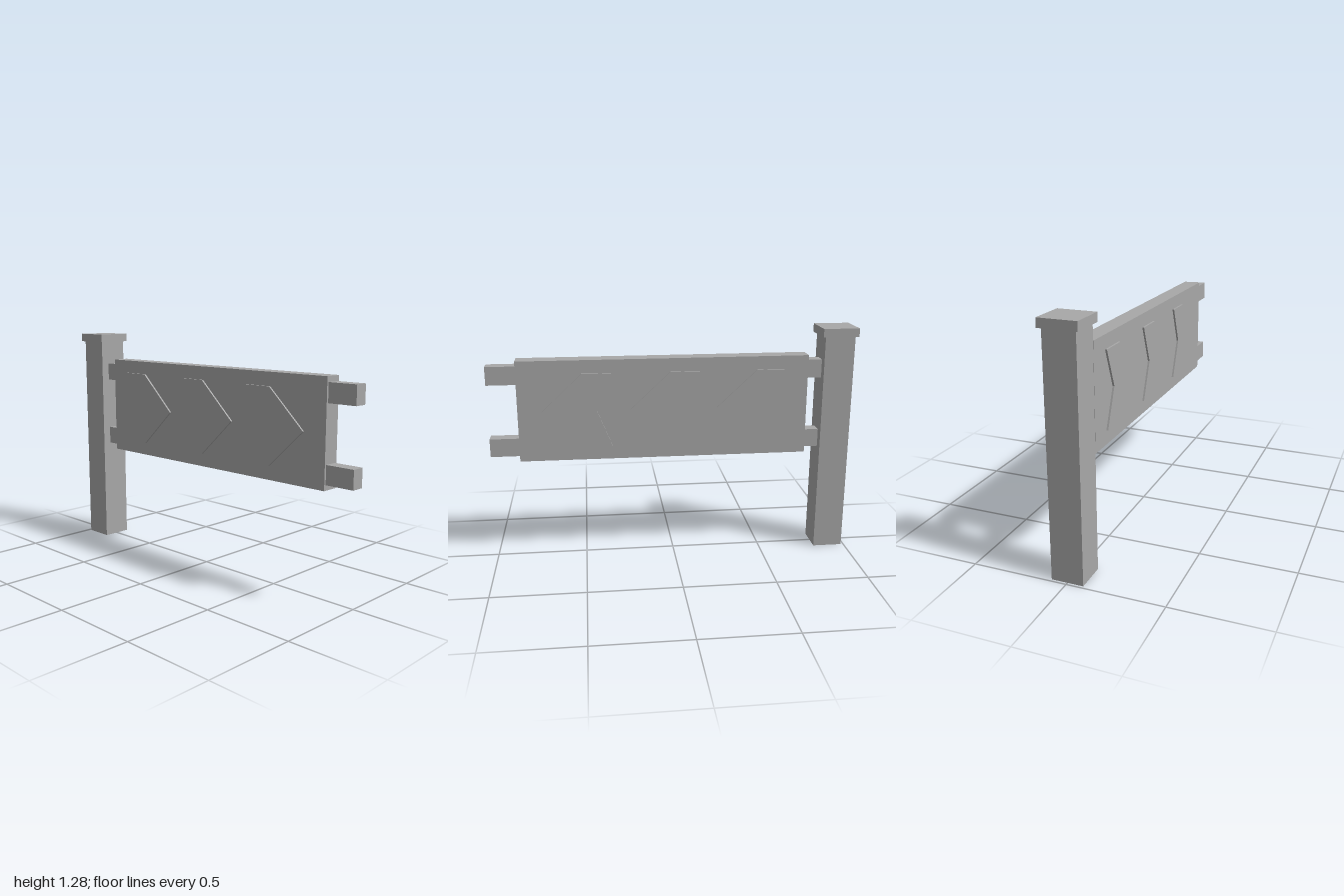
import * as THREE from 'three';

export function createModel() {
  const group = new THREE.Group();
  const grey = new THREE.MeshStandardMaterial({ color: 0xa8a8a8 });
  grey.name = 'lightGrey';

  const add = (name, geometry, x, y, z) => {
    const mesh = new THREE.Mesh(geometry, grey);
    mesh.name = name;
    mesh.position.set(x, y, z);
    group.add(mesh);
  };
  // box given by its min and max on x and y, centred on z
  const box = (name, x0, x1, y0, y1, depth) =>
    add(name, new THREE.BoxGeometry(x1 - x0, y1 - y0, depth), (x0 + x1) / 2, (y0 + y1) / 2, 0);

  // post with its square cap
  box('post', -0.985, -0.82, 0, 1.23, 0.166);
  box('postCap', -1, -0.803, 1.23, 1.276, 0.198);

  // two rails running from the post through the panel
  box('lowerRail', -0.83, 1, 0.6, 0.7, 0.072);
  box('upperRail', -0.83, 1, 0.998, 1.098, 0.072);

  // sign panel
  box('panel', -0.742, 0.842, 0.572, 1.126, 0.094);

  // raised arrows on both faces, all pointing away from the post
  const arrow = new THREE.Shape([
    [0, -0.204], [0.159, -0.204], [0.377, 0], [0.159, 0.204], [0, 0.204], [0.082, 0],
  ].map(([x, y]) => new THREE.Vector2(x, y)));
  const depth = 0.014;
  const arrowGeometry = new THREE.ExtrudeGeometry(arrow, { depth, bevelEnabled: false });
  for (let i = 0; i < 3; i++) {
    const x = -0.616 + i * 0.476;
    add('frontArrow', arrowGeometry, x, 0.849, 0.057 - depth);
    add('backArrow', arrowGeometry, x, 0.849, -0.057);
  }
  return group;
}
